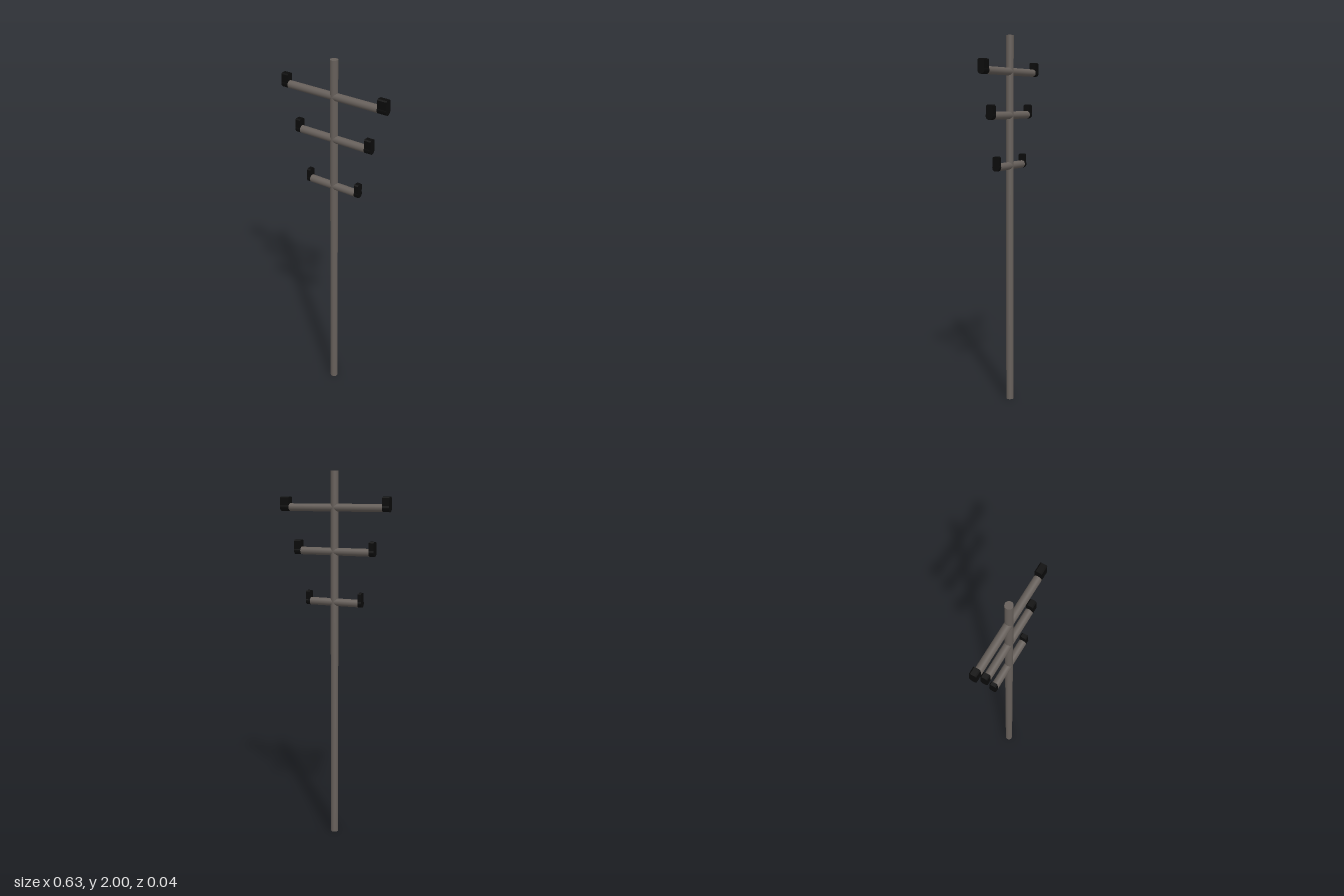
import * as THREE from 'three';

const R = 0.0205; // shared radius of pole and crossarms

export function createModel() {
  const model = new THREE.Group();
  const wood = new THREE.MeshStandardMaterial({ color: 0x665f5a });
  wood.name = 'weathered wood';
  const black = new THREE.MeshStandardMaterial({ color: 0x0b0b0b });
  black.name = 'black insulator';

  const add = (parent, name, geometry, material) => {
    const mesh = new THREE.Mesh(geometry, material);
    mesh.name = name;
    parent.add(mesh);
    return mesh;
  };

  // Round bar lying along x from x0 to x1
  const bar = (x0, x1) =>
    new THREE.CylinderGeometry(R, R, x1 - x0, 32).rotateZ(Math.PI / 2).translate((x0 + x1) / 2, 0, 0);

  // Upright block with chamfered top, standing on the bar end
  const block = (x0, x1) => {
    const w = 0.0185, top = 0.057, c = 0.006;
    const shape = new THREE.Shape([
      [-w, 0], [w, 0], [w, top - c], [w - c, top], [c - w, top], [-w, top - c],
    ].map(([x, y]) => new THREE.Vector2(x, y)));
    return new THREE.ExtrudeGeometry(shape, { depth: x1 - x0, bevelEnabled: false })
      .rotateY(Math.PI / 2).translate(x0, 0, 0);
  };

  // Main pole
  add(model, 'pole', new THREE.CylinderGeometry(R, R, 2, 32), wood).position.y = 1;

  // Crossarms: height, then outer and inner ends on each side
  const arms = [
    ['upper', 1.81, -0.316, -0.277, 0.264, 0.316],
    ['middle', 1.58, -0.233, -0.204, 0.195, 0.233],
    ['lower', 1.31, -0.163, -0.143, 0.139, 0.163],
  ];
  for (const [name, y, a, b, c, d] of arms) {
    const arm = new THREE.Group();
    arm.name = name + 'Crossarm';
    arm.position.y = y;
    model.add(arm);
    add(arm, 'beam', bar(b, c), wood);
    for (const [side, x0, x1] of [['right', a, b], ['left', c, d]]) {
      add(arm, side + 'EndCap', bar(x0, x1), black);
      add(arm, side + 'Insulator', block(x0, x1), black);
    }
  }
  return model;
}
